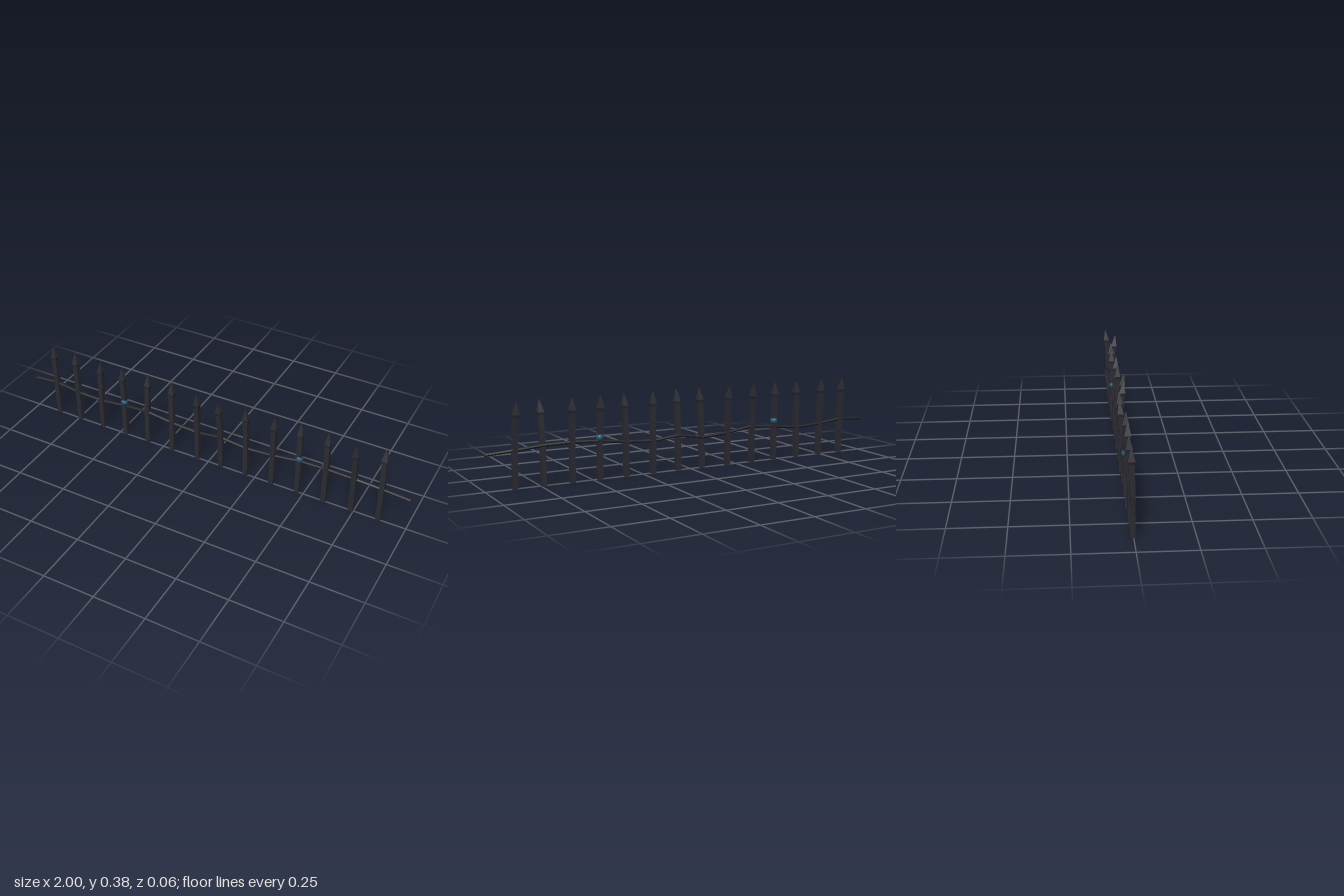
import * as THREE from 'three';

const iron = new THREE.MeshStandardMaterial({ color: 0x2a2a32, flatShading: true });
iron.name = 'dark iron';
const railIron = new THREE.MeshStandardMaterial({ color: 0x252428, flatShading: true });
railIron.name = 'black iron';
const teal = new THREE.MeshStandardMaterial({ color: 0x21506a });
teal.name = 'dark teal';

// Each picket: base x, tip x, tip z
const pickets = [
  [-0.868, -0.876, -0.012], [-0.74, -0.75, -0.012], [-0.603, -0.597, -0.005], [-0.467, -0.474, -0.004],
  [-0.338, -0.337, -0.023], [-0.2, -0.204, -0.016], [-0.06, -0.053, 0.014], [0.068, 0.063, 0.024],
  [0.2, 0.195, 0.004], [0.336, 0.342, 0.005], [0.468, 0.464, -0.014], [0.601, 0.598, -0.008],
  [0.736, 0.74, 0.024], [0.868, 0.858, -0.023],
];
// Rail joints: height and depth
const railJoints = [
  [0.166, -0.007], [0.174, -0.01], [0.158, -0.007], [0.152, -0.009], [0.166, -0.01], [0.178, -0.006],
  [0.158, -0.008], [0.148, -0.01], [0.168, -0.006], [0.153, -0.006], [0.162, -0.007], [0.178, -0.01],
  [0.184, -0.008], [0.182, -0.006], [0.172, -0.01], [0.163, -0.008],
];

// Lean grows towards the tip
function leanAt([x0, x1, z1], y) {
  const k = Math.pow(y / 0.383, 2.2);
  return [x0 + (x1 - x0) * k, -0.004 + (z1 + 0.004) * k];
}

// Four-sided bent bar through rings of [height, half width]
function bentBar(picket, rings) {
  const n = rings.length - 1;
  const geo = new THREE.CylinderGeometry(Math.SQRT2, Math.SQRT2, 1, 4, n).rotateY(Math.PI / 4);
  const p = geo.attributes.position;
  for (let i = 0; i < p.count; i++) {
    const [y, half] = rings[Math.round((p.getY(i) + 0.5) * n)];
    const [x, z] = leanAt(picket, y);
    p.setXYZ(i, x + p.getX(i) * half, y, z + p.getZ(i) * half);
  }
  geo.computeVertexNormals();
  return geo;
}

function add(group, name, geo, mat) {
  const mesh = new THREE.Mesh(geo, mat);
  mesh.name = name;
  group.add(mesh);
  return mesh;
}

export function createModel() {
  const fence = new THREE.Group();
  fence.name = 'fence';

  // Pickets with spear heads
  pickets.forEach((p, i) => {
    const g = new THREE.Group();
    g.name = 'picket' + (i + 1);
    add(g, 'post', bentBar(p, [[0, 0.0115], [0.17, 0.0115], [0.25, 0.0115], [0.318, 0.0115]]), iron);
    add(g, 'spearHead', bentBar(p, [[0.312, 0.011], [0.327, 0.0148], [0.383, 0.0015]]), iron);
    fence.add(g);
  });

  // Uneven rail, one bar between each pair of joints
  const xs = [-1, ...pickets.map((p) => leanAt(p, 0.17)[0]), 1];
  const points = xs.map((x, i) => new THREE.Vector3(x, ...railJoints[i]));
  const rail = new THREE.Group();
  rail.name = 'rail';
  for (let i = 0; i < points.length - 1; i++) {
    const d = points[i + 1].clone().sub(points[i]);
    const bar = add(rail, 'railBar', new THREE.CylinderGeometry(0.0075, 0.0075, d.length(), 6), railIron);
    bar.position.copy(points[i]).addScaledVector(d, 0.5);
    bar.quaternion.setFromUnitVectors(new THREE.Vector3(0, 1, 0), d.normalize());
  }
  fence.add(rail);

  // Round bosses on two pickets
  for (const i of [3, 10]) {
    const [x, z] = leanAt(pickets[i], 0.194);
    add(fence, 'boss', new THREE.SphereGeometry(0.0192, 12, 8), teal).position.set(x, 0.194, z);
  }
  return fence;
}
